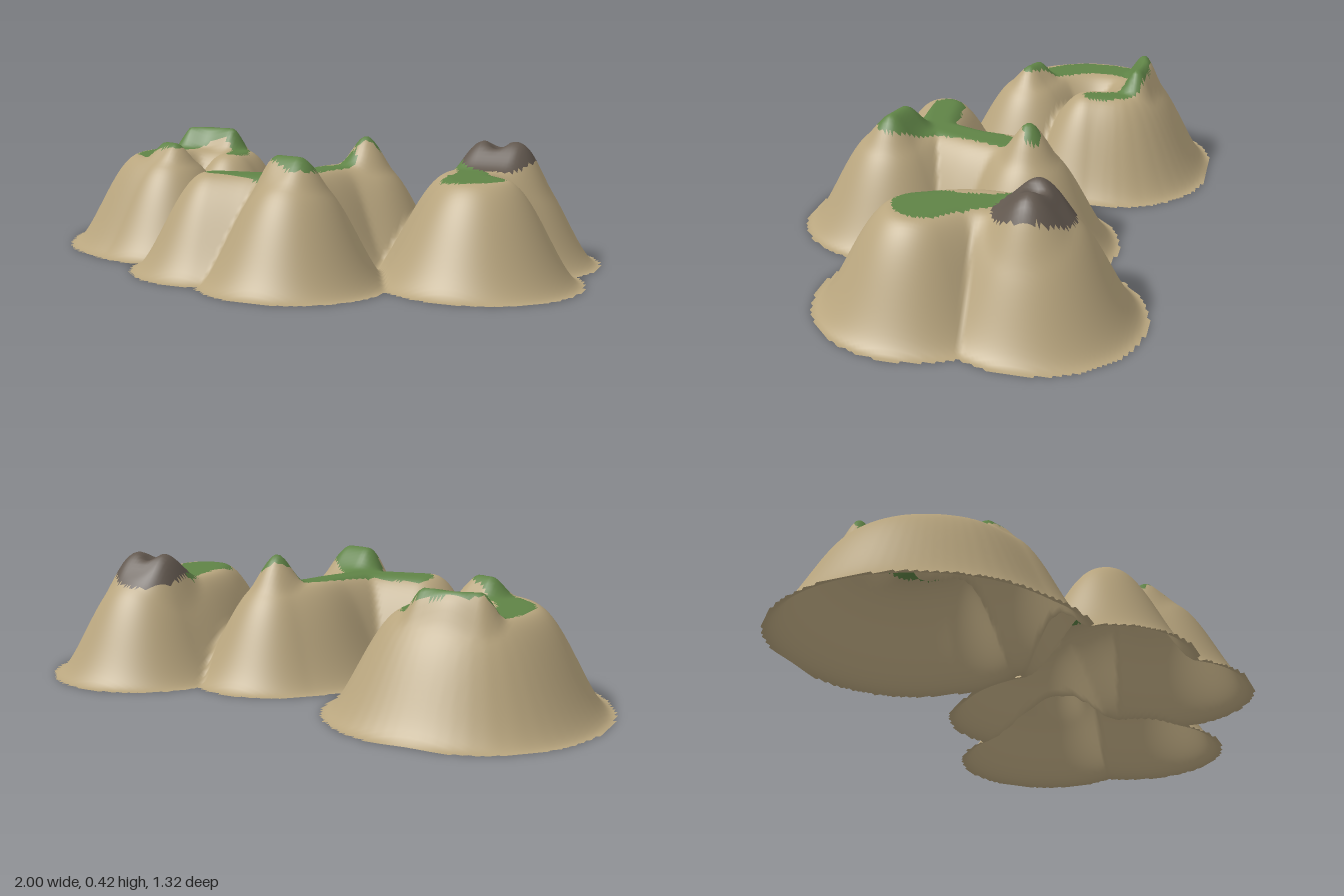
import * as THREE from 'three';

// Curve through [x, z, width] points, sampled evenly; width is kept in y
function trail(points) {
  if (points.length === 1) return [new THREE.Vector3(points[0][0], points[0][2], points[0][1])];
  const curve = new THREE.CatmullRomCurve3(points.map(([x, z, w]) => new THREE.Vector3(x, w, z)));
  return curve.getSpacedPoints(45);
}

// Signed distance from (x, z) to the band around a trail
function bandDistance(samples, x, z) {
  let best = Infinity;
  for (const p of samples) best = Math.min(best, Math.hypot(x - p.x, z - p.z) - p.y);
  return best;
}

const PLATEAU = 0.326;
const smooth = (t) => { t = Math.min(1, Math.max(0, t)); return t * t * (3 - 2 * t); };

// Ridge lines of the hills; width is the reach of the slope down to the ground
const ridges = [
  [[-0.5, 0.02, 0.3], [-0.63, -0.05, 0.3], [-0.69, -0.2, 0.305], [-0.65, -0.34, 0.3],
    [-0.53, -0.375, 0.29], [-0.43, -0.34, 0.28], [-0.4, -0.22, 0.27]],
  [[-0.18, 0.27, 0.285], [-0.06, 0.25, 0.28], [0.03, 0.24, 0.28], [0.14, 0.35, 0.31]],
  [[0.03, 0.24, 0.28], [0.09, 0.08, 0.28], [0.12, -0.05, 0.29], [0.19, -0.13, 0.3]],
  [[0.64, -0.26, 0.33], [0.58, -0.12, 0.31], [0.59, -0.02, 0.31], [0.66, 0.09, 0.33]],
].map(trail);

// Knolls standing on the ridges: path, radius, height
const knolls = [
  { path: trail([[-0.66, -0.385, 0], [-0.58, -0.4, 0], [-0.48, -0.385, 0]]), radius: 0.075, height: 0.08 },
  { path: trail([[-0.54, 0.005, 0], [-0.49, 0.025, 0]]), radius: 0.08, height: 0.06 },
  { path: trail([[0.08, 0.33, 0], [0.16, 0.35, 0]]), radius: 0.1, height: 0.075 },
  { path: trail([[0.19, -0.13, 0]]), radius: 0.1, height: 0.1 },
  { path: trail([[0.58, -0.25, 0], [0.69, -0.25, 0]]), radius: 0.13, height: 0.09 },
  { path: trail([[0.63, -0.25, 0]]), radius: 0.05, height: -0.035 },
];

// Grass patches along the tops
const grass = [
  [[-0.49, 0.025, 0.025], [-0.58, -0.02, 0.045], [-0.67, -0.12, 0.06], [-0.69, -0.24, 0.055],
    [-0.65, -0.35, 0.05], [-0.56, -0.385, 0.035], [-0.45, -0.37, 0.035], [-0.4, -0.3, 0.035], [-0.39, -0.23, 0.03]],
  [[-0.17, 0.25, 0.055], [-0.05, 0.245, 0.06], [0.04, 0.26, 0.07], [0.16, 0.345, 0.055]],
  [[0.03, 0.24, 0.07], [0.08, 0.1, 0.05], [0.11, 0.0, 0.045], [0.14, -0.06, 0.04]],
  [[0.17, -0.125, 0.025], [0.21, -0.145, 0.03]],
  [[0.53, -0.2, 0.035], [0.58, -0.1, 0.045], [0.61, -0.01, 0.065], [0.64, 0.08, 0.1]],
].map(trail);

const cone = trail([[0.63, -0.25, 0.125]]);

// Slope falls smoothly away from the ridge lines, knolls are added on top
function heightAt(x, z) {
  let d = Infinity;
  for (const r of ridges) d = Math.min(d, bandDistance(r, x, z));
  if (d >= 0) return 0;
  let h = PLATEAU * smooth(Math.pow(Math.min(1, -d / 0.25), 0.88));
  const rise = smooth(h / 0.2);
  for (const k of knolls) {
    h += rise * k.height * smooth(1 - Math.max(0, bandDistance(k.path, x, z)) / k.radius);
  }
  return h;
}

export function createModel() {
  const group = new THREE.Group();
  group.name = 'hills';
  const mat = (name, color) => {
    const m = new THREE.MeshStandardMaterial({ color, side: THREE.DoubleSide });
    m.name = name;
    return m;
  };
  const parts = [
    { name: 'hillSlopes', material: mat('sand', 0xb8a57e), index: [] },
    { name: 'grassTops', material: mat('grass', 0x5f8346), index: [] },
    { name: 'craterCone', material: mat('rock', 0x62584f), index: [] },
  ];

  // Square grid of heights
  const nx = 164, nz = 108, w = 2.0, depth = 1.32;
  const pos = [];
  for (let j = 0; j <= nz; j++) {
    for (let i = 0; i <= nx; i++) {
      const x = (i / nx - 0.5) * w, z = (j / nz - 0.5) * depth;
      pos.push(x, heightAt(x, z), z);
    }
  }

  // Keep the cells that rise from the ground and sort each face by its surface
  const all = [];
  const addFace = (a, b, c) => {
    const y = [a, b, c].map((v) => pos[v * 3 + 1]);
    if (Math.max(...y) <= 0) return;
    const x = (pos[a * 3] + pos[b * 3] + pos[c * 3]) / 3;
    const z = (pos[a * 3 + 2] + pos[b * 3 + 2] + pos[c * 3 + 2]) / 3;
    let kind = 0;
    if (bandDistance(cone[0] ? cone : [], x, z) < 0) kind = 2;
    else if (grass.some((g) => bandDistance(g, x, z) < 0)) kind = 1;
    parts[kind].index.push(a, b, c);
    all.push(a, b, c);
  };
  for (let j = 0; j < nz; j++) {
    for (let i = 0; i < nx; i++) {
      const a = j * (nx + 1) + i, b = a + 1, c = a + nx + 1, d = c + 1;
      addFace(a, c, b);
      addFace(b, c, d);
    }
  }

  // Shared normals keep the surface smooth across colour borders
  const surface = new THREE.BufferGeometry();
  surface.setAttribute('position', new THREE.Float32BufferAttribute(pos, 3));
  surface.setIndex(all);
  surface.computeVertexNormals();

  for (const part of parts) {
    // Compact each part to the vertices it uses
    const map = new Map(), p = [], n = [];
    const index = part.index.map((v) => {
      if (!map.has(v)) {
        map.set(v, map.size);
        for (let k = 0; k < 3; k++) {
          p.push(pos[v * 3 + k]);
          n.push(surface.attributes.normal.array[v * 3 + k]);
        }
      }
      return map.get(v);
    });
    const geo = new THREE.BufferGeometry();
    geo.setAttribute('position', new THREE.Float32BufferAttribute(p, 3));
    geo.setAttribute('normal', new THREE.Float32BufferAttribute(n, 3));
    geo.setIndex(index);
    const mesh = new THREE.Mesh(geo, part.material);
    mesh.name = part.name;
    group.add(mesh);
  }
  return group;
}
